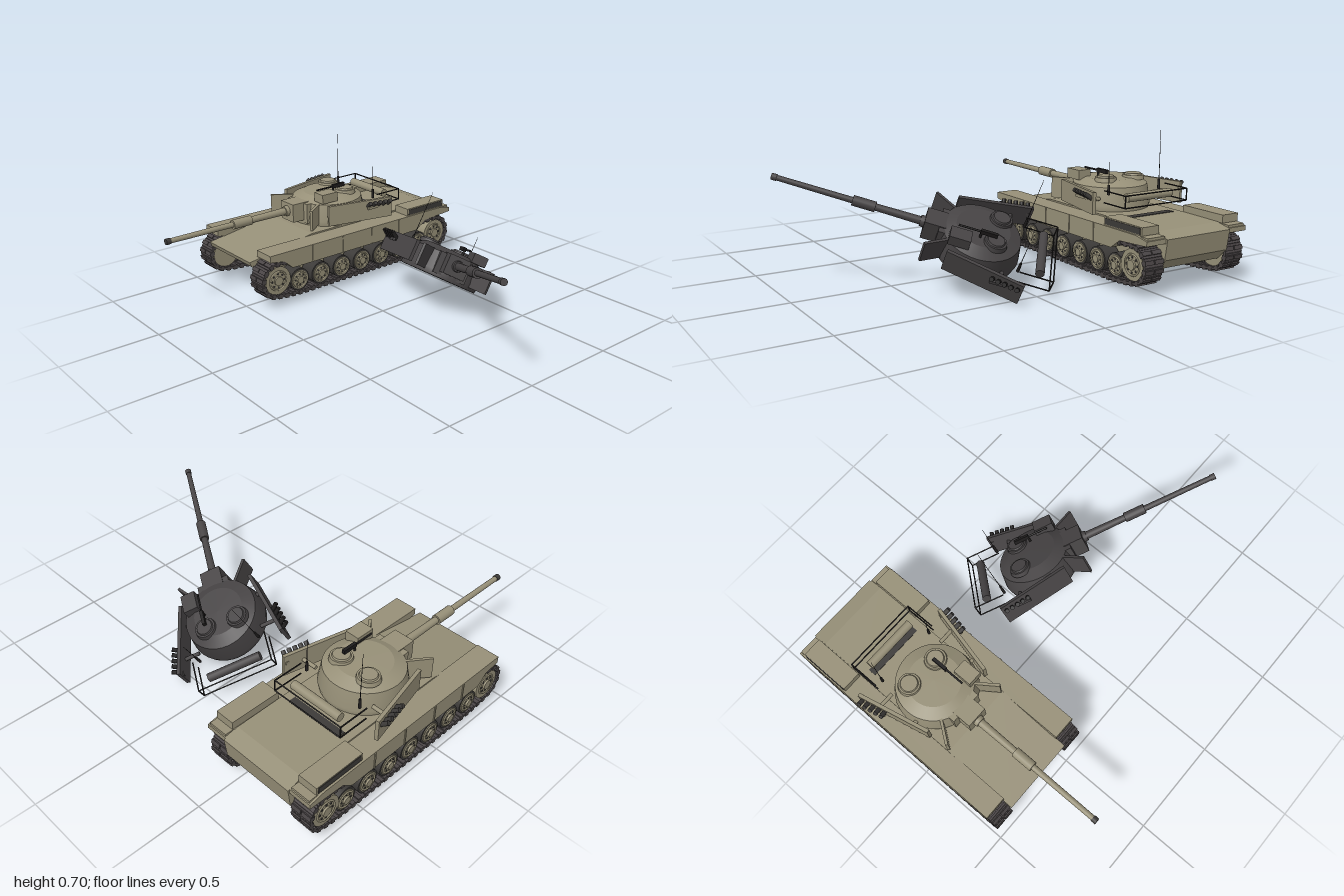
import * as THREE from 'three';
import { mergeGeometries } from 'three/addons/utils/BufferGeometryUtils.js';

const material = (name, color) => {
  const m = new THREE.MeshStandardMaterial({ color });
  m.name = name;
  return m;
};

export function createModel() {
  const olive = material('olive paint', 0x979078);
  const trackGrey = material('track steel', 0x4a4546);
  const rubber = material('tyre rubber', 0x3c3a38);
  const black = material('black metal', 0x1e1c1c);
  const charred = material('charred steel', 0x464344);

  const model = new THREE.Group();
  model.name = 'tankWithSpareTurret';

  const add = (parent, name, geo, mat, x = 0, y = 0, z = 0) => {
    const m = new THREE.Mesh(geo, mat);
    m.name = name;
    m.position.set(x, y, z);
    parent.add(m);
    return m;
  };
  const box = (p, name, mat, w, h, d, x, y, z) =>
    add(p, name, new THREE.BoxGeometry(w, h, d), mat, x, y, z);
  // straight round bar between two points, r0 at a and r1 at b
  const rod = (p, name, mat, a, b, r0, r1 = r0, sides = 8) => {
    const A = new THREE.Vector3(...a), B = new THREE.Vector3(...b);
    const dir = B.clone().sub(A);
    const m = add(p, name, new THREE.CylinderGeometry(r1, r0, dir.length(), sides), mat);
    m.position.copy(A).add(B).multiplyScalar(0.5);
    m.quaternion.setFromUnitVectors(new THREE.Vector3(0, 1, 0), dir.normalize());
    return m;
  };
  // side profile of (z, y) points, extruded across x
  const sideSlab = (points, width) => {
    const shape = new THREE.Shape(points.map(([z, y]) => new THREE.Vector2(z, y)));
    const g = new THREE.ExtrudeGeometry(shape, { depth: width, bevelEnabled: false });
    return g.translate(0, 0, -width / 2).rotateY(-Math.PI / 2);
  };

  // ---- turret: origin at ring centre, gun along +z ----
  function makeTurret(name, paint) {
    const t = new THREE.Group();
    t.name = name;
    const profile = (pts) => pts.map(([r, y]) => new THREE.Vector2(r, y));
    const lathe = (pts) => new THREE.LatheGeometry(profile(pts), 40);
    add(t, 'turretWall', lathe([[0, 0], [0.2, 0], [0.2, 0], [0.207, 0.03], [0.19, 0.122]]), paint);
    add(t, 'turretRoof', lathe([[0.19, 0.122], [0.13, 0.15], [0.13, 0.15], [0, 0.153]]), paint);

    // gun
    box(t, 'mantlet', paint, 0.11, 0.1, 0.11, 0, 0.08, 0.215);
    box(t, 'mantletCheeks', paint, 0.17, 0.11, 0.08, 0, 0.07, 0.16);
    const gunY = 0.085;
    const gun = (part, mat, z0, z1, r0, r1) =>
      rod(t, part, mat, [0, gunY, z0], [0, gunY, z1], r0, r1, 18);
    gun('gunCollar', paint, 0.26, 0.29, 0.03, 0.026);
    gun('gunSleeve', paint, 0.28, 0.51, 0.02, 0.017);
    gun('boreEvacuator', paint, 0.505, 0.615, 0.025, 0.025);
    gun('gunBarrel', paint, 0.61, 0.98, 0.015, 0.013);
    gun('muzzle', paint === olive ? rubber : paint, 0.975, 1.0, 0.016, 0.016);

    // roof fittings
    for (const [x, z] of [[-0.09, -0.075], [0.08, -0.065]]) {
      add(t, 'hatchRing', new THREE.CylinderGeometry(0.053, 0.058, 0.022, 24), paint, x, 0.152, z);
      add(t, 'hatchLid', new THREE.CylinderGeometry(0.04, 0.044, 0.008, 24), paint, x, 0.167, z);
    }
    box(t, 'sightBox', paint, 0.075, 0.05, 0.1, 0.125, 0.16, 0.1);
    rod(t, 'machineGunBarrel', black, [0.07, 0.185, 0.0], [0.07, 0.185, 0.12], 0.005);
    box(t, 'machineGunBody', black, 0.016, 0.02, 0.08, 0.07, 0.186, -0.025);
    rod(t, 'machineGunPost', black, [0.07, 0.15, 0.01], [0.07, 0.185, 0.01], 0.006);

    for (const s of [-1, 1]) {
      // splayed side armour and front fins
      const plate = box(t, 'sideArmour', paint, 0.018, 0.11, 0.38, s * 0.238, 0.075, -0.045);
      plate.rotation.y = -s * 0.22;
      for (const z of [-0.13, 0.05])
        rod(t, 'armourBracket', paint, [s * 0.17, 0.07, z], [s * (0.228 - z * 0.2), 0.07, z], 0.01);
      const fin = box(t, 'frontFin', paint, 0.014, 0.11, 0.13, s * 0.15, 0.07, 0.195);
      fin.rotation.y = s * 0.62;
      // smoke launchers tilted up and outward
      for (let i = 0; i < 5; i++) {
        const z = -0.21 + i * 0.03, x = 0.272 - i * 0.006;
        rod(t, 'smokeLauncher', paint === olive ? rubber : black,
          [s * x, 0.092, z], [s * (x + 0.042), 0.122, z + 0.012], 0.011, 0.011, 10);
      }
      box(t, 'launcherRail', paint, 0.012, 0.014, 0.15, s * 0.27, 0.09, -0.15);
    }

    // rear rack with rolled tarp
    for (const y of [0.065, 0.125]) {
      rod(t, 'rackRearRail', black, [-0.195, y, -0.36], [0.195, y, -0.36], 0.0035, 0.0035, 6);
      for (const s of [-1, 1])
        rod(t, 'rackSideRail', black, [s * 0.195, y, -0.36], [s * 0.195, y, -0.2], 0.0035, 0.0035, 6);
    }
    for (const x of [-0.195, 0.195])
      rod(t, 'rackPost', black, [x, 0.065, -0.36], [x, 0.125, -0.36], 0.0035, 0.0035, 6);
    rod(t, 'rolledTarp', paint, [-0.14, 0.1, -0.3], [0.14, 0.1, -0.3], 0.022, 0.022, 14);

    // antennas
    for (const [x, z, top] of [[-0.155, -0.2, 0.4], [0.165, -0.195, 0.28]]) {
      rod(t, 'antennaBase', black, [x, 0.1, z], [x, 0.15, z], 0.008, 0.006);
      rod(t, 'antenna', black, [x, 0.15, z], [x, top, z], 0.002, 0.001, 5);
    }
    return t;
  }

  // ---- tank body ----
  const tank = new THREE.Group();
  tank.name = 'tank';
  tank.position.x = -0.68;
  model.add(tank);

  add(tank, 'hull', sideSlab([
    [0.475, 0.205], [0.08, 0.268], [-0.5, 0.268], [-0.75, 0.264], [-0.83, 0.242],
    [-0.815, 0.14], [-0.76, 0.085], [0.34, 0.085], [0.465, 0.18],
  ], 0.39), olive);
  box(tank, 'engineGrille', rubber, 0.3, 0.006, 0.04, 0, 0.268, -0.47);

  // track centreline, as (z, y)
  const loop = [];
  const arc = (cz, from, to) => {
    for (let i = 0; i <= 7; i++) {
      const a = THREE.MathUtils.degToRad(from + ((to - from) * i) / 7);
      loop.push(new THREE.Vector3(0, 0.112 + 0.09 * Math.sin(a), cz + 0.09 * Math.cos(a)));
    }
  };
  arc(0.375, 90, -58);
  for (const z of [0.26, 0.1, -0.2, -0.45, -0.59]) loop.push(new THREE.Vector3(0, 0.014, z));
  arc(-0.712, -122, -270);
  for (const z of [-0.5, -0.15, 0.15]) loop.push(new THREE.Vector3(0, 0.195, z));
  const path = new THREE.CatmullRomCurve3(loop, true);
  const links = 66;
  const step = path.getLength() / links;
  const linkParts = [], padParts = [];
  for (let i = 0; i < links; i++) {
    const p = path.getPointAt(i / links), d = path.getTangentAt(i / links);
    const place = new THREE.Matrix4().makeRotationX(Math.atan2(-d.y, d.z)).setPosition(p);
    linkParts.push(new THREE.BoxGeometry(0.108, 0.012, step * 1.04).applyMatrix4(place));
    // the loop runs clockwise, so the outside is local -y or +y depending on travel
    for (const x of [-0.029, 0.029])
      padParts.push(new THREE.BoxGeometry(0.052, 0.026, step * 0.5).translate(x, 0, 0).applyMatrix4(place));
  }
  const linkGeo = mergeGeometries(linkParts), padGeo = mergeGeometries(padParts);

  // wheel facing +x: tyre, dish and hub
  const wheelAt = (s, name, r, y, z, tyre) => {
    const g = new THREE.Group();
    g.name = name;
    g.position.set(s * 0.25, y, z);
    tank.add(g);
    const disc = (part, mat, radius, w, x = 0) =>
      add(g, part, new THREE.CylinderGeometry(radius, radius, w, 28).rotateZ(Math.PI / 2), mat, x);
    if (tyre) disc('tyre', rubber, r, 0.088);
    disc('wheelDisc', olive, tyre ? r * 0.84 : r, 0.096);
    add(g, 'wheelRim', new THREE.TorusGeometry(r * 0.66, 0.005, 6, 28).rotateY(Math.PI / 2), olive, s * 0.048);
    disc('hub', olive, r * 0.32, 0.016, s * 0.05);
    for (let i = 0; i < 8; i++) {
      const a = (i * Math.PI) / 4;
      const bolt = disc('bolt', rubber, r * 0.07, 0.008, s * 0.047);
      bolt.position.y = r * 0.48 * Math.sin(a);
      bolt.position.z = r * 0.48 * Math.cos(a);
    }
  };

  for (const s of [-1, 1]) {
    add(tank, 'trackLinks', linkGeo, trackGrey, s * 0.25);
    add(tank, 'trackPads', padGeo, trackGrey, s * 0.25);
    for (let i = 0; i < 7; i++) wheelAt(s, 'roadWheel', 0.06, 0.082, 0.24 - i * 0.1385, true);
    wheelAt(s, 'idlerWheel', 0.076, 0.112, 0.375, false);
    wheelAt(s, 'driveSprocket', 0.076, 0.112, -0.712, false);

    // fender with side skirt
    add(tank, 'fender', sideSlab([
      [0.425, 0.26], [-0.74, 0.26], [-0.82, 0.245], [-0.82, 0.222], [-0.63, 0.21],
      [-0.57, 0.165], [0.29, 0.165], [0.34, 0.212], [0.425, 0.225],
    ], 0.12), olive, s * 0.25);
    for (const z of [0.16, -0.04, -0.24, -0.435])
      box(tank, 'skirtRib', olive, 0.006, 0.09, 0.008, s * 0.311, 0.212, z);
    // rear stowage bins
    box(tank, 'stowageBin', olive, 0.1, 0.04, 0.27, s * 0.25, 0.28, -0.64);
    box(tank, 'binSidePanel', rubber, 0.004, 0.03, 0.25, s * 0.301, 0.28, -0.64);
    box(tank, 'rearMudguard', olive, 0.1, 0.012, 0.05, s * 0.25, 0.252, -0.79);
  }

  const turret = makeTurret('turret', olive);
  turret.position.set(0, 0.265, -0.17);
  tank.add(turret);

  // ---- burnt turret lying tilted beside the tank ----
  const wreck = makeTurret('burntTurret', charred);
  const forward = new THREE.Vector3(0.828, 0.298, 0.475).normalize();
  const left = new THREE.Vector3(0, 0.847, -0.531).cross(forward).normalize();
  const up = forward.clone().cross(left);
  wreck.quaternion.setFromRotationMatrix(new THREE.Matrix4().makeBasis(left, up, forward));
  wreck.position.set(0.165, 0.143, -0.222);
  model.add(wreck);

  return model;
}
